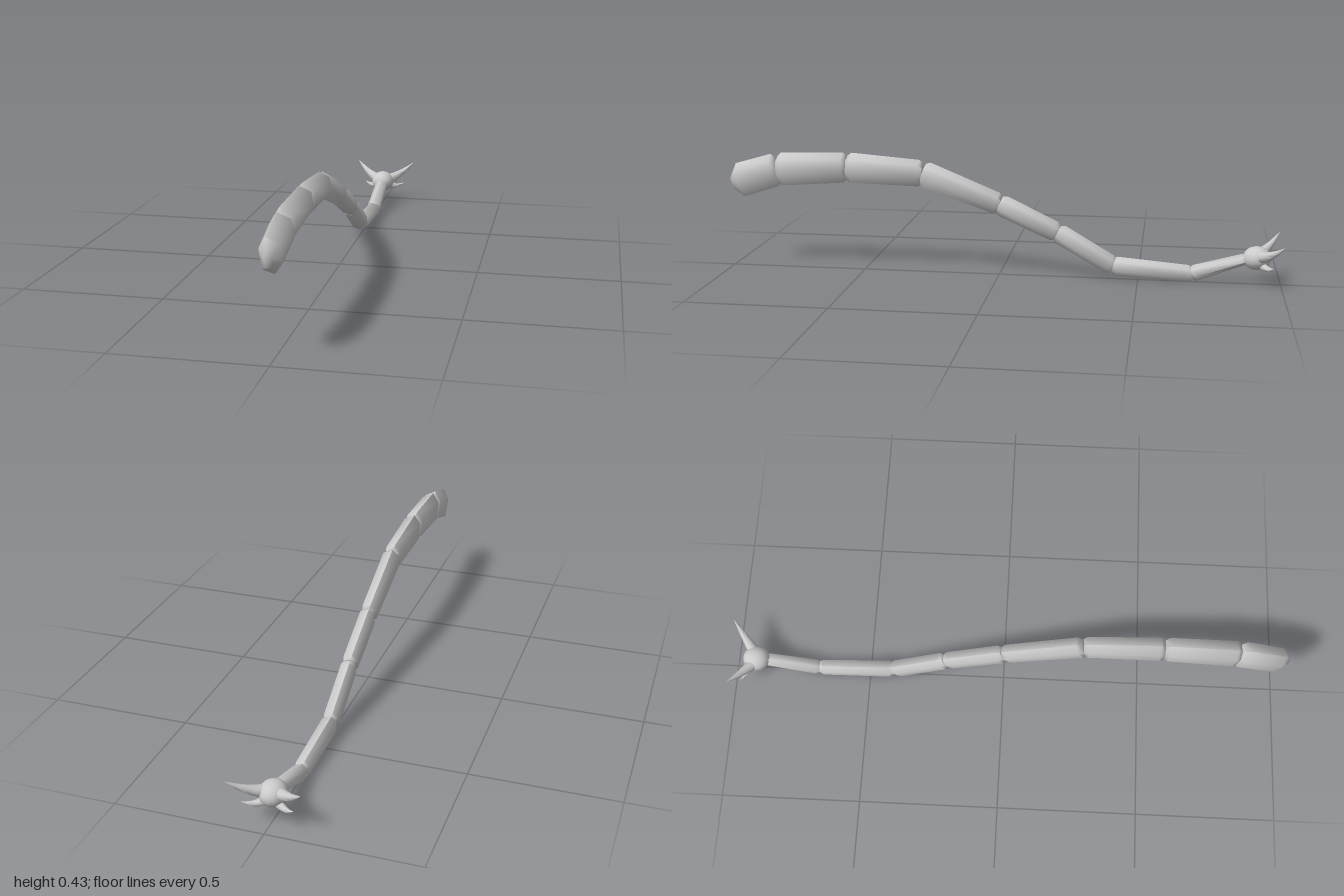
import * as THREE from 'three';
import { toCreasedNormals } from 'three/addons/utils/BufferGeometryUtils.js';

const V = (x, y, z) => new THREE.Vector3(x, y, z);
const material = new THREE.MeshStandardMaterial({ color: 0xcccccc });

// Uneven six-sided cross-section, counter-clockwise, in units of half width and half height
const HEX = [[-0.3, 1], [-0.95, 0.35], [-0.8, -0.8], [0.2, -1], [1, -0.3], [0.8, 0.65]];
const ROUND = Array.from({ length: 10 }, (_, i) => {
  const a = (i / 10) * Math.PI * 2;
  return [Math.cos(a), Math.sin(a)];
});

// Skin over a run of sections { p: centre, d: direction, w: half width, h: half height }, closed at both ends
function loft(sections, outline, crease) {
  const n = outline.length, pos = [], index = [];
  for (const { p, d, w, h } of sections) {
    const side = V(0, 1, 0).cross(d).normalize();
    const up = d.clone().cross(side);
    for (const [u, v] of outline) {
      pos.push(...p.clone().addScaledVector(side, u * w).addScaledVector(up, v * h).toArray());
    }
  }
  const last = (sections.length - 1) * n, start = pos.length / 3;
  pos.push(...sections[0].p.toArray(), ...sections[sections.length - 1].p.toArray());
  for (let j = 0; j < n; j++) {
    const k = (j + 1) % n;
    for (let a = 0; a < last; a += n) {
      index.push(a + j, a + k, a + n + k, a + j, a + n + k, a + n + j);
    }
    index.push(start, k, j, start + 1, last + j, last + k);
  }
  const geo = new THREE.BufferGeometry();
  geo.setAttribute('position', new THREE.Float32BufferAttribute(pos, 3));
  geo.setIndex(index);
  return toCreasedNormals(geo, crease);
}

function addMesh(parent, geometry, name) {
  const mesh = new THREE.Mesh(geometry, material);
  mesh.name = name;
  parent.add(mesh);
  return mesh;
}

// Joints along the body, front to back: z, y, half width, half height
const JOINTS = [
  [0.975, 0.325, 0.036, 0.063], [0.82, 0.372, 0.039, 0.06], [0.56, 0.385, 0.036, 0.054],
  [0.28, 0.37, 0.032, 0.047], [0, 0.265, 0.03, 0.038], [-0.21, 0.168, 0.029, 0.035],
  [-0.41, 0.052, 0.029, 0.034], [-0.69, 0.034, 0.027, 0.029], [-0.88, 0.097, 0.024, 0.019],
];

function bodySegment(i) {
  const [zf, yf, wf, hf] = JOINTS[i], [zb, yb, wb, hb] = JOINTS[i + 1];
  const back = V(0, yb, zb), front = V(0, yf, zf);
  const length = back.distanceTo(front);
  const d = front.clone().sub(back).normalize();
  const at = (s, k) => {
    const t = s / length;
    return {
      p: back.clone().addScaledVector(d, s), d,
      w: k * THREE.MathUtils.lerp(wb, wf, t), h: k * THREE.MathUtils.lerp(hb, hf, t),
    };
  };
  const rings = [at(0, 0.8), at(0.014, 1)];
  // The first segment ends in a blunt nose, the others in a narrowed joint
  if (i === 0) rings.push(at(length - 0.01, 1), at(length + 0.02, 0.4));
  else rings.push(at(length - 0.014, 1), at(length, 0.8));
  return loft(rings, HEX, 1.15);
}

// Curved spike tapering to a point
function spike(points, radius) {
  const curve = new THREE.QuadraticBezierCurve3(...points);
  const rings = [];
  for (let i = 0; i <= 8; i++) {
    const t = i / 8, r = Math.max(radius * Math.pow(1 - t, 0.8), 0.0005);
    rings.push({ p: curve.getPoint(t), d: curve.getTangent(t), w: r, h: r });
  }
  return loft(rings, ROUND, 1.15);
}

export function createModel() {
  const model = new THREE.Group();
  model.name = 'segmentedTail';

  const body = new THREE.Group();
  body.name = 'body';
  for (let i = 0; i < JOINTS.length - 1; i++) addMesh(body, bodySegment(i), `bodySegment${i + 1}`);
  model.add(body);

  // Spiked ball at the tip
  const tip = new THREE.Group();
  tip.name = 'spikedTip';
  const ball = addMesh(tip, new THREE.SphereGeometry(1, 16, 12), 'ball');
  ball.scale.set(0.046, 0.042, 0.05);
  ball.position.set(0, 0.1, -0.915);
  for (const s of [1, -1]) {
    const name = s > 0 ? 'left' : 'right';
    addMesh(tip, spike([V(s * 0.02, 0.107, -0.922), V(s * 0.07, 0.12, -0.96), V(s * 0.121, 0.169, -1)], 0.023),
      `${name}UpperSpike`);
    addMesh(tip, spike([V(s * 0.018, 0.079, -0.93), V(s * 0.055, 0.066, -0.955), V(s * 0.084, 0.085, -0.968)], 0.016),
      `${name}LowerSpike`);
  }
  model.add(tip);
  return model;
}
